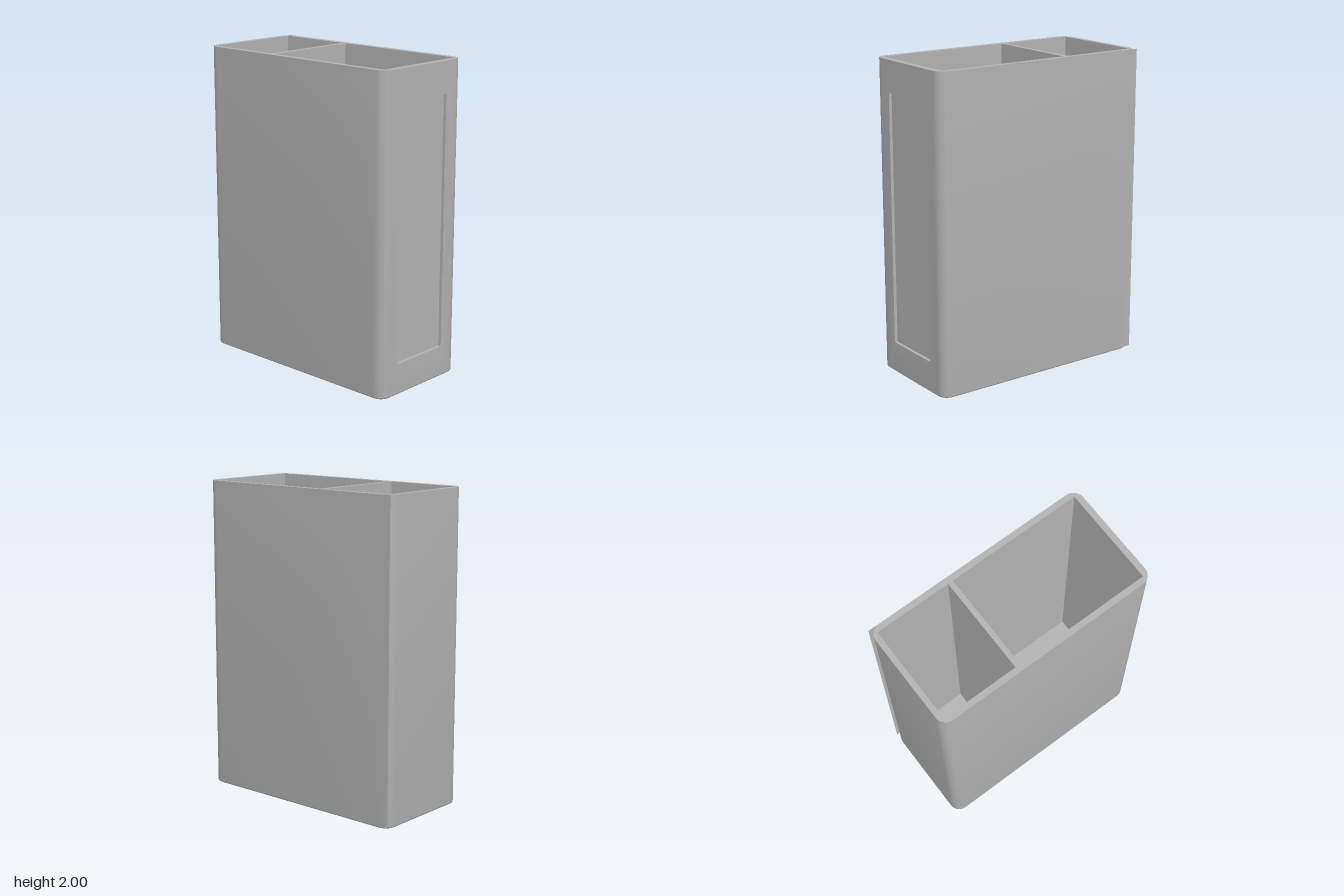
import * as THREE from 'three';
import { mergeGeometries, toCreasedNormals } from 'three/addons/utils/BufferGeometryUtils.js';

const HX = 0.355, HZ = 0.74, H = 2, R = 0.07; // half width, half depth, height, corner radius
const FILLET = 0.012, FLOOR = 0.05, RECESS = 0.02;

// Rings are lists of [x, z], counter-clockwise seen from above.
function roundedRing(inset) {
  const pts = [], r = R - inset, steps = 10;
  [[1, 1], [1, -1], [-1, -1], [-1, 1]].forEach(([sx, sz], k) => {
    for (let i = 0; i <= steps; i++) {
      const a = (k + i / steps) * Math.PI / 2;
      pts.push([sx * (HX - R) + r * Math.sin(a), sz * (HZ - R) + r * Math.cos(a)]);
    }
  });
  return pts;
}
const rectRing = (x0, x1, z0, z1) => [[x0, z1], [x1, z1], [x1, z0], [x0, z0]];
const circleRing = (cz, r, n = 64) => Array.from({ length: n }, (_, i) => {
  const a = i / n * Math.PI * 2;
  return [r * Math.sin(a), cz + r * Math.cos(a)];
});

// Wall through levels [ring, y]; rising levels face outwards, falling levels inwards.
function loft(levels, closed = true) {
  const pos = [];
  for (let l = 0; l + 1 < levels.length; l++) {
    const [lo, y0] = levels[l], [hi, y1] = levels[l + 1], n = lo.length;
    for (let i = 0; i < (closed ? n : n - 1); i++) {
      const j = (i + 1) % n;
      const a = [lo[i][0], y0, lo[i][1]], b = [lo[j][0], y0, lo[j][1]];
      const c = [hi[j][0], y1, hi[j][1]], d = [hi[i][0], y1, hi[i][1]];
      pos.push(...a, ...b, ...c, ...a, ...c, ...d);
    }
  }
  const g = new THREE.BufferGeometry();
  g.setAttribute('position', new THREE.Float32BufferAttribute(pos, 3));
  return g;
}

// Flat horizontal face at height y with optional holes, facing up or down.
function plate(ring, y, holes = [], down = false) {
  const to2 = pts => pts.map(([x, z]) => new THREE.Vector2(x, -z));
  const shape = new THREE.Shape(to2(ring));
  holes.forEach(h => shape.holes.push(new THREE.Path(to2(h))));
  let g = new THREE.ShapeGeometry(shape).rotateX(-Math.PI / 2).translate(0, y, 0);
  if (down) g.index.array.reverse();
  g = g.toNonIndexed();
  g.deleteAttribute('uv');
  g.deleteAttribute('normal');
  return g;
}

export function createModel() {
  const group = new THREE.Group();
  group.name = 'dividedHolder';
  const grey = new THREE.MeshStandardMaterial({ color: 0xb2b2b2, side: THREE.DoubleSide });
  grey.name = 'grey';
  const add = (name, parts) => {
    const mesh = new THREE.Mesh(toCreasedNormals(mergeGeometries(parts), 0.6), grey);
    mesh.name = name;
    group.add(mesh);
  };

  const outline = roundedRing(0);
  const frontPocket = rectRing(-0.317, 0.317, -0.18, 0.7);
  const rearPocket = rectRing(-0.317, 0.317, -0.705, -0.213);
  const hole = circleRing(-0.4, 0.186);
  // Front shapes are drawn lying down and stood up so that up becomes +z.
  const stand = g => g.rotateX(Math.PI / 2);
  const recess = rectRing(-0.203, 0.203, -1.8, -0.2);

  // Filleted foot
  const foot = [];
  for (let i = 0; i <= 4; i++) {
    const a = i / 4 * Math.PI / 2;
    foot.push([roundedRing(FILLET * (1 - Math.sin(a))), FILLET * (1 - Math.cos(a))]);
  }
  // Flat flange carrying the +x side straight past the rounded rear corner
  const flange = loft([[[[HX, -HZ + R], [HX, -HZ]], FILLET], [[[HX, -HZ + R], [HX, -HZ]], H]], false);

  add('body', [
    loft(foot),
    loft([[outline, FILLET], [outline, H]], false),
    stand(plate(rectRing(-HX + R, HX - R, -H, -FILLET), HZ, [recess])),
    plate(outline, H, [frontPocket, rearPocket]),
    plate(roundedRing(FILLET), 0, [hole], true),
    flange,
  ]);

  // Shallow panel sunk into the front
  add('frontRecess', [
    stand(loft([[recess, HZ], [recess, HZ - RECESS]])),
    stand(plate(recess, HZ - RECESS)),
  ]);

  // Two compartments, the rear one with a round opening in its floor
  add('frontCompartment', [loft([[frontPocket, H], [frontPocket, FLOOR]]), plate(frontPocket, FLOOR)]);
  add('rearCompartment', [loft([[rearPocket, H], [rearPocket, FLOOR]]), plate(rearPocket, FLOOR, [hole])]);
  add('floorOpening', [loft([[hole, FLOOR], [hole, 0]])]);

  return group;
}
